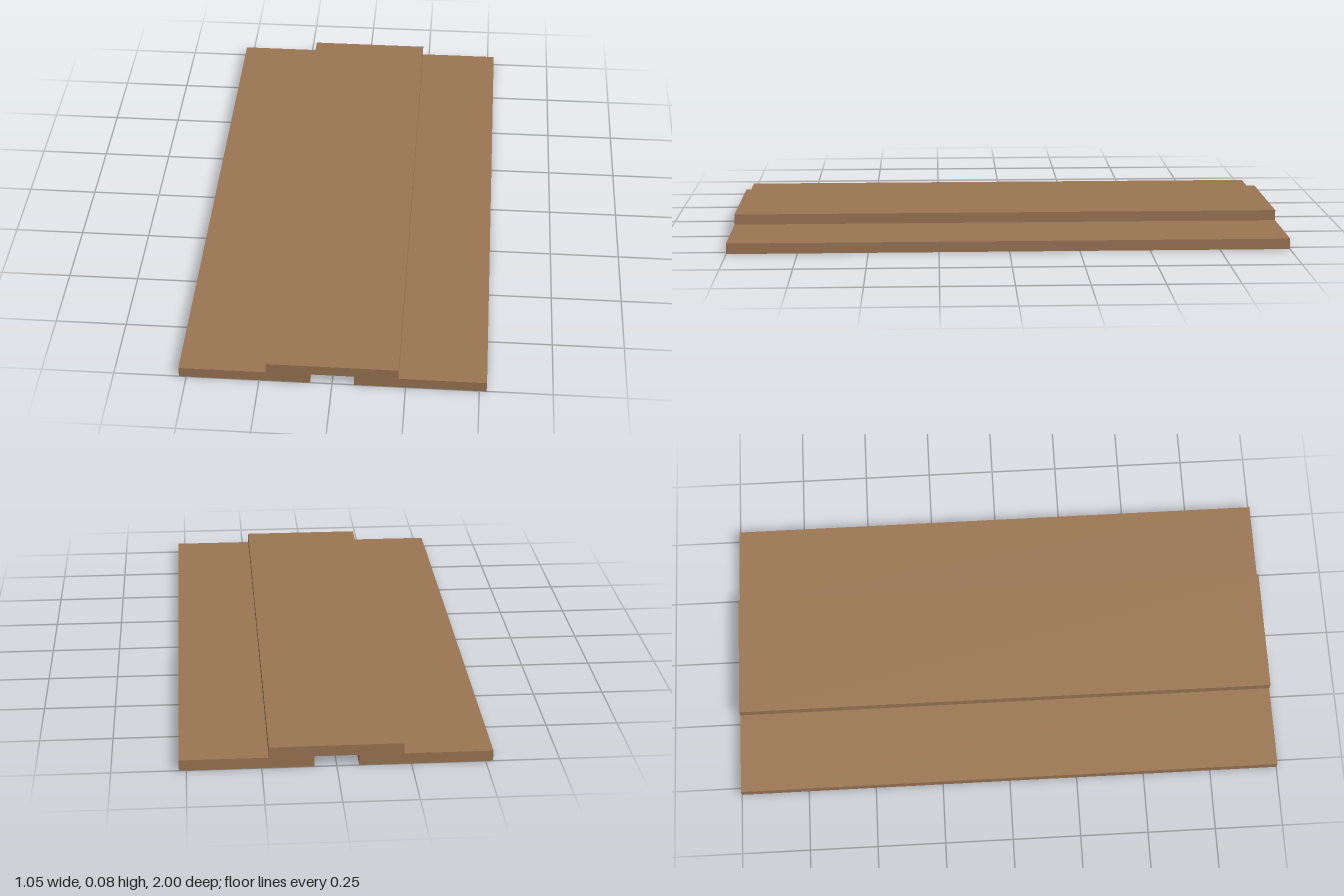
import * as THREE from 'three';

export function createModel() {
  const group = new THREE.Group();
  const wood = new THREE.MeshStandardMaterial({ color: 0x9b7653 });
  wood.name = 'brown wood';

  const length = 2, boardThickness = 0.038, totalHeight = 0.076;
  const outerX = 0.525, battenX = 0.226, gapX = 0.075;

  // Right half of the cross-section: two boards with a gap, bridged by a raised batten
  const half = [
    [gapX, boardThickness], [gapX, 0], [outerX, 0],
    [outerX, boardThickness], [battenX, boardThickness], [battenX, totalHeight],
  ];
  const mirrored = half.map(([x, y]) => [-x, y]).reverse();
  const profile = new THREE.Shape([...half, ...mirrored].map(([x, y]) => new THREE.Vector2(x, y)));

  // Extrude the section along the full length
  const geometry = new THREE.ExtrudeGeometry(profile, { depth: length, bevelEnabled: false });
  geometry.translate(0, 0, -length / 2);

  const panel = new THREE.Mesh(geometry, wood);
  panel.name = 'boardAndBattenPanel';
  group.add(panel);
  return group;
}
